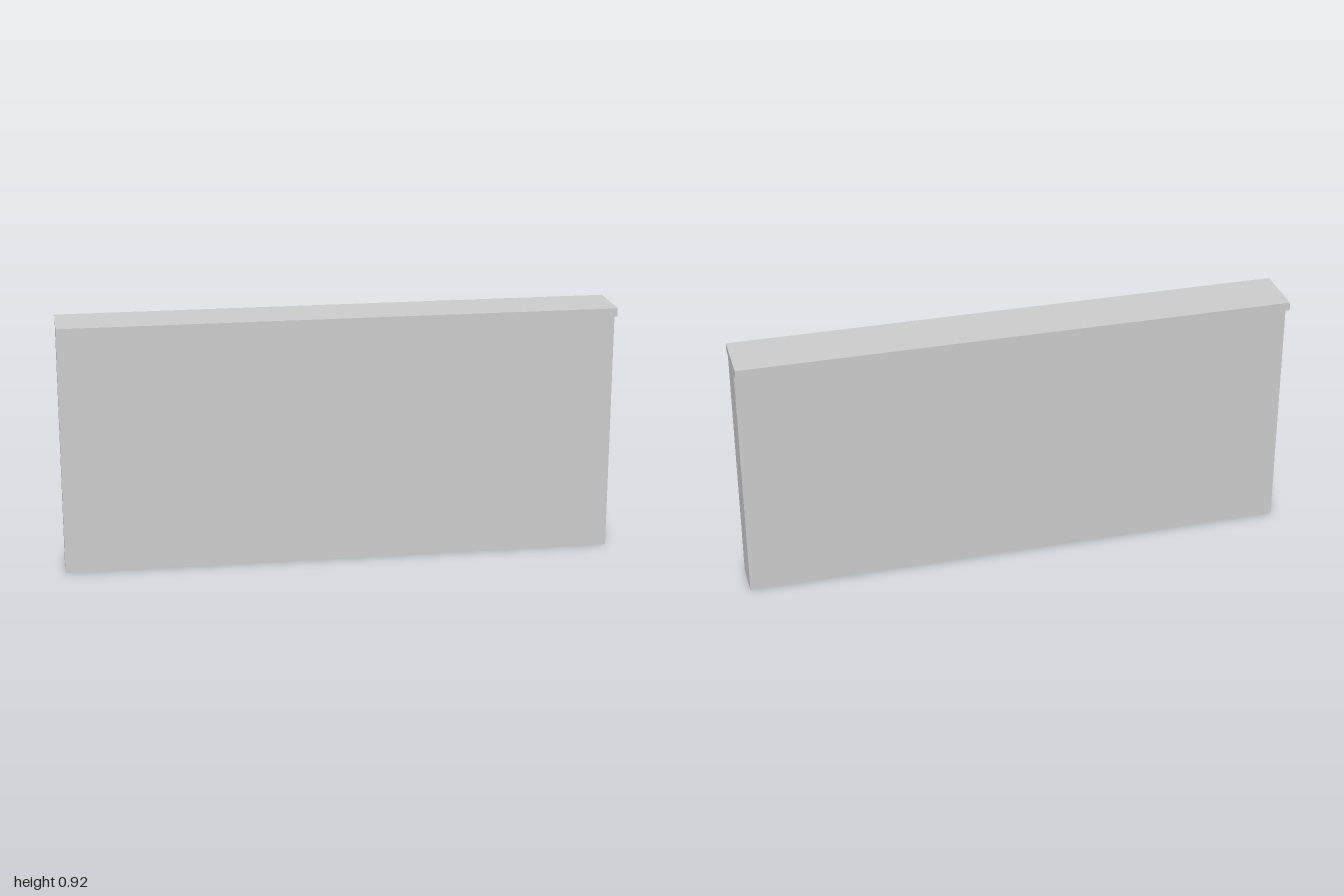
import * as THREE from 'three';

const LENGTH = 2, HEIGHT = 0.915, LEDGE = 0.885;
const WALL = 0.068, CAP = 0.105; // half depths

// Remove the faces lying flat on the ground, leaving the underside open
function openBottom(geometry) {
  const p = geometry.attributes.position, kept = [];
  for (let i = 0; i < p.count; i += 3) {
    const corners = [i, i + 1, i + 2];
    if (corners.every((c) => Math.abs(p.getY(c)) < 1e-6)) continue;
    for (const c of corners) kept.push(p.getX(c), p.getY(c), p.getZ(c));
  }
  const open = new THREE.BufferGeometry();
  open.setAttribute('position', new THREE.Float32BufferAttribute(kept, 3));
  open.computeVertexNormals();
  return open;
}

export function createModel() {
  const group = new THREE.Group();
  group.name = 'cappedWall';

  // T-shaped section: slim wall under a wider overhanging cap
  const half = [[WALL, 0], [WALL, LEDGE], [CAP, LEDGE], [CAP, HEIGHT]];
  const mirrored = half.map(([x, y]) => [-x, y]).reverse();
  const section = new THREE.Shape([...half, ...mirrored].map(([x, y]) => new THREE.Vector2(x, y)));

  // Run the section along x
  const solid = new THREE.ExtrudeGeometry(section, { depth: LENGTH, bevelEnabled: false });
  solid.translate(0, 0, -LENGTH / 2).rotateY(Math.PI / 2);

  const material = new THREE.MeshStandardMaterial({
    color: 0xcccccc, flatShading: true, side: THREE.DoubleSide,
  });
  const wall = new THREE.Mesh(openBottom(solid), material);
  wall.name = 'wallWithCap';
  group.add(wall);
  return group;
}
